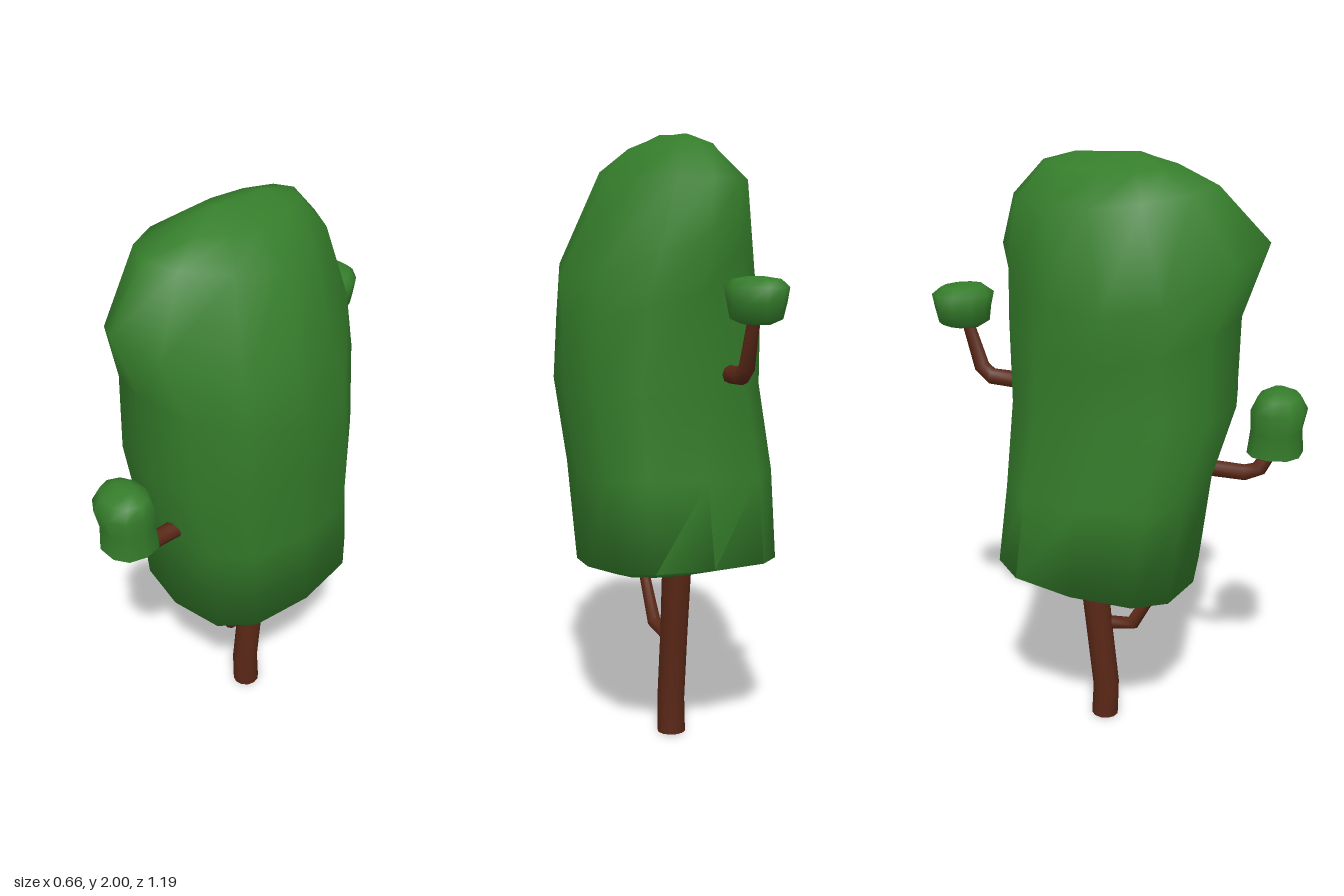
import * as THREE from 'three';
import { toCreasedNormals } from 'three/addons/utils/BufferGeometryUtils.js';

const leaf = new THREE.MeshStandardMaterial({ color: 0x357d2b });
const bark = new THREE.MeshStandardMaterial({ color: 0x592716 });

// Skin a stack of point rings and close both ends with fans
function loft(rings, crease) {
  const n = rings[0].length;
  const pts = rings.flat();
  const idx = [];
  for (let i = 0; i < rings.length - 1; i++) {
    for (let j = 0; j < n; j++) {
      const a = i * n + j, b = i * n + (j + 1) % n;
      idx.push(a, a + n, b, a + n, b + n, b);
    }
  }
  const centre = (ring) => ring.reduce((s, p) => s.add(p), new THREE.Vector3()).divideScalar(n);
  const last = (rings.length - 1) * n, lo = pts.length, hi = lo + 1;
  const all = [...pts, centre(rings[0]), centre(rings[rings.length - 1])];
  for (let j = 0; j < n; j++) {
    const k = (j + 1) % n;
    idx.push(lo, j, k, hi, last + k, last + j);
  }
  const geo = new THREE.BufferGeometry().setFromPoints(all);
  geo.setIndex(idx);
  return toCreasedNormals(geo, crease);
}

// Foliage from levels: y, xMin, xMax, zMin, zMax, y tilt along z, y lift at front and back,
// corner exponent (below 1 squarer, above 1 more pointed); skew slants the plan diagonally
function foliage(name, levels, sides, crease, skew = 0) {
  const soft = (v, e) => Math.sign(v) * Math.abs(v) ** e;
  const rings = levels.map(([y, x0, x1, z0, z1, tilt = 0, lift = 0, e = 1]) =>
    Array.from({ length: sides }, (_, j) => {
      const a = (j / sides) * Math.PI * 2;
      const c = soft(Math.cos(a), e), s = soft(Math.sin(a), e);
      return new THREE.Vector3(
        (x0 + x1) / 2 + (c + skew * s) * (x1 - x0) / 2,
        y + tilt * s + lift * s * s,
        (z0 + z1) / 2 + s * (z1 - z0) / 2);
    }));
  const mesh = new THREE.Mesh(loft(rings, crease), leaf);
  mesh.name = name;
  return mesh;
}

// Tapered limb through points x, y, z, radius
function limb(name, path, sides = 8) {
  const pos = path.map(([x, y, z]) => new THREE.Vector3(x, y, z));
  const rings = pos.map((p, i) => {
    const before = pos[Math.max(i - 1, 0)], after = pos[Math.min(i + 1, pos.length - 1)];
    const t = after.clone().sub(before).normalize();
    const v = new THREE.Vector3(1, 0, 0).cross(t).normalize();
    const u = t.clone().cross(v);
    return Array.from({ length: sides }, (_, j) => {
      const a = (j / sides) * Math.PI * 2, r = path[i][3];
      return p.clone().addScaledVector(u, r * Math.cos(a)).addScaledVector(v, r * Math.sin(a));
    });
  });
  const mesh = new THREE.Mesh(loft(rings, 1), bark);
  mesh.name = name;
  return mesh;
}

export function createModel() {
  const tree = new THREE.Group();
  tree.name = 'tree';

  // Tall main crown: squarish below, pointed front and back near the top
  tree.add(foliage('crown', [
    [0.56, -0.18, 0.16, -0.16, 0.10, -0.01],
    [0.61, -0.33, 0.28, -0.40, 0.26, -0.037, 0, 0.72],
    [0.92, -0.33, 0.30, -0.365, 0.30, 0, 0, 0.72],
    [1.20, -0.30, 0.33, -0.36, 0.38, 0, 0, 0.8],
    [1.38, -0.315, 0.33, -0.375, 0.39, 0, 0.12, 0.95],
    [1.54, -0.33, 0.33, -0.41, 0.475, 0.03, 0.17, 1.3],
    [1.86, -0.27, 0.19, -0.35, 0.32, 0.03, 0.02, 1.12],
    [1.95, -0.15, 0.09, -0.25, 0.20, 0, 0.01],
    [1.99, -0.06, -0.01, -0.14, 0.07, 0.004, 0.005],
  ], 12, 1.4));

  // Trunk and the thin twig running up under the crown
  tree.add(limb('trunk', [
    [-0.02, 0, -0.06, 0.047], [-0.02, 0.12, -0.055, 0.046],
    [-0.02, 0.35, -0.08, 0.046], [-0.02, 0.7, -0.115, 0.05],
  ], 12));
  tree.add(limb('lowerTwig', [
    [0, 0.35, -0.08, 0.026], [0.005, 0.362, 0.035, 0.024], [0.01, 0.62, 0.18, 0.016],
  ]));

  // Front branch with its tuft
  tree.add(limb('frontBranch', [
    [0.04, 0.97, 0.22, 0.03], [0.04, 0.967, 0.41, 0.028],
    [0.045, 0.985, 0.455, 0.026], [0.065, 1.08, 0.51, 0.02],
  ]));
  tree.add(foliage('frontTuft', [
    [1.04, -0.022, 0.162, 0.41, 0.59, 0, 0, 0.85],
    [1.12, -0.022, 0.157, 0.42, 0.585, 0, 0, 0.9],
    [1.19, -0.038, 0.168, 0.42, 0.6, 0, 0, 0.9],
    [1.235, -0.02, 0.155, 0.44, 0.575],
    [1.255, 0.02, 0.11, 0.475, 0.53],
  ], 10, 1.1));

  // Back branch with its tuft
  tree.add(limb('backBranch', [
    [-0.1, 1.25, -0.28, 0.03], [-0.1, 1.255, -0.42, 0.028],
    [-0.1, 1.285, -0.455, 0.026], [-0.1, 1.45, -0.505, 0.019],
  ]));
  tree.add(foliage('backTuft', [
    [1.42, -0.14, -0.065, -0.56, -0.46],
    [1.435, -0.17, -0.035, -0.585, -0.435],
    [1.485, -0.18, -0.025, -0.595, -0.43],
    [1.53, -0.186, -0.018, -0.603, -0.42],
    [1.553, -0.165, -0.04, -0.575, -0.45],
    [1.56, -0.125, -0.075, -0.535, -0.485],
  ], 10, 1.5, 0.3));

  return tree;
}
